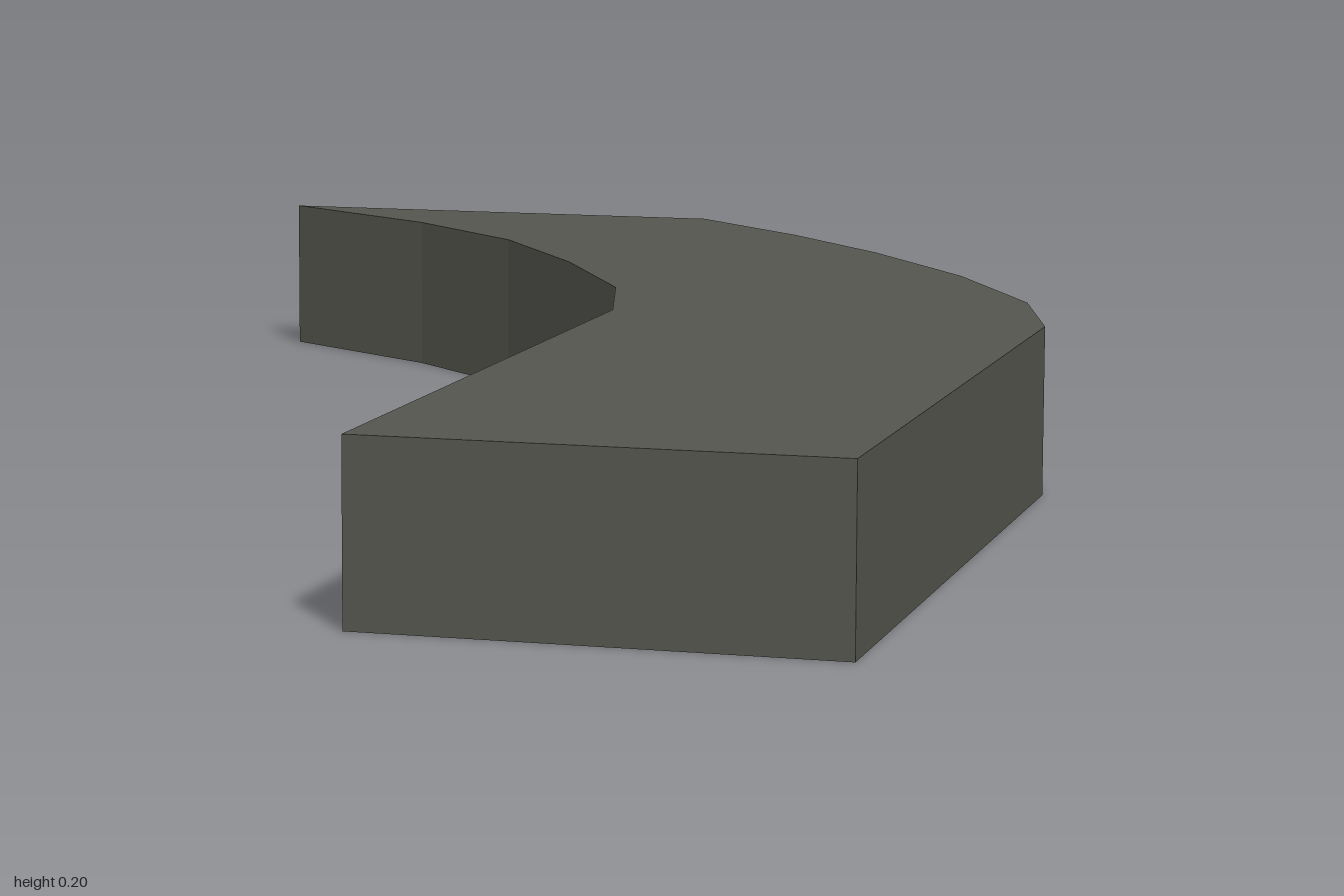
import * as THREE from 'three';

const HEIGHT = 0.2;

// Edge outlines as [x, z], from the straight front end to the cut back end
const outerEdge = [[0.64, 1], [0.64, 0], [0.58, -0.21], [0.45, -0.45], [0.29, -0.67], [0.14, -0.84], [-0.03, -1]];
const innerEdge = [[0.115, 1], [0.115, 0], [0.06, -0.21], [-0.07, -0.45], [-0.22, -0.67], [-0.4, -0.84], [-0.64, -1]];

export function createModel() {
  const group = new THREE.Group();
  group.name = 'curvedSlab';

  const darkStone = new THREE.MeshStandardMaterial({ color: 0x55554e });
  darkStone.name = 'darkStone';

  // Closed plan: out along one edge, back along the other
  const plan = [...outerEdge, ...innerEdge.slice().reverse()];
  const shape = new THREE.Shape(plan.map(([x, z]) => new THREE.Vector2(x, -z)));

  // Raise the plan into a solid lying on the ground
  const geometry = new THREE.ExtrudeGeometry(shape, { depth: HEIGHT, bevelEnabled: false });
  geometry.rotateX(-Math.PI / 2);

  const slab = new THREE.Mesh(geometry, darkStone);
  slab.name = 'slab';
  group.add(slab);
  return group;
}
